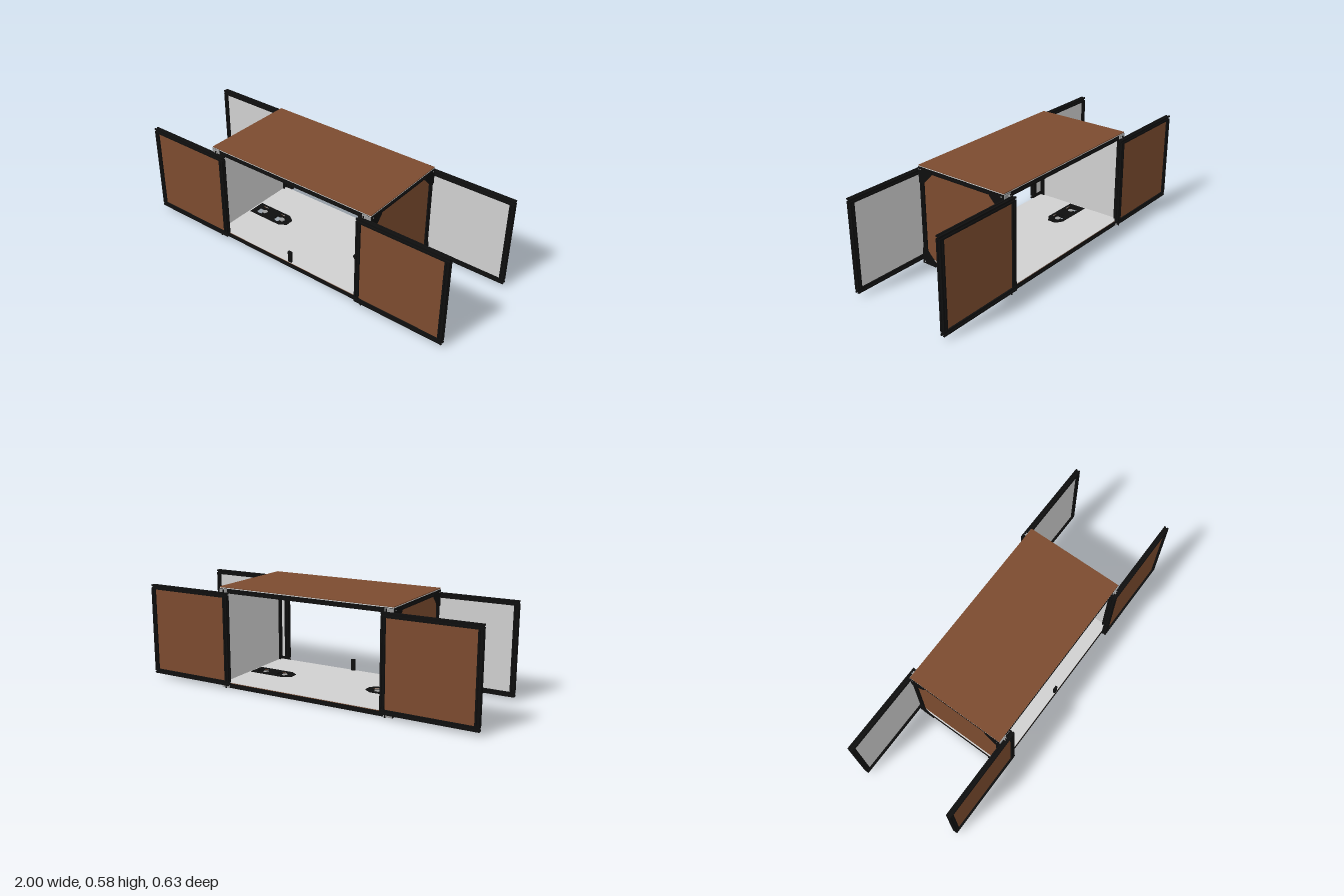
import * as THREE from 'three';

const mat = (name, color) => {
  const m = new THREE.MeshStandardMaterial({ color });
  m.name = name;
  return m;
};

export function createModel() {
  const black = mat('black frame', 0x0e0e0e);
  const brown = mat('brown panel face', 0x7c4b2f);
  const pale = mat('pale panel face', 0xd0d0d0);
  const steel = mat('grey steel', 0x9c9c9c);
  const root = new THREE.Group();
  root.name = 'cabinet';
  const S = 0.026, H = S / 2; // rail section

  const add = (parent, name, geo, m, x = 0, y = 0, z = 0) => {
    const mesh = new THREE.Mesh(geo, m);
    mesh.name = name;
    mesh.position.set(x, y, z);
    parent.add(mesh);
    return mesh;
  };
  const box = (parent, name, m, w, h, d, x, y, z) =>
    add(parent, name, new THREE.BoxGeometry(w, h, d), m, x, y, z);
  const rod = (parent, name, m, r, h, x, y, z) =>
    add(parent, name, new THREE.CylinderGeometry(r, r, h, 16), m, x, y, z);

  // slotted rail section: one side turned four times, with a centre bore
  const side = [[1, 1], [0.28, 1], [0.28, 0.8], [0.68, 0.8], [0.25, 0.36],
    [-0.25, 0.36], [-0.68, 0.8], [-0.28, 0.8], [-0.28, 1]];
  const section = [];
  for (let i = 0; i < 4; i++) {
    const c = Math.round(Math.cos(i * Math.PI / 2)), s = Math.round(Math.sin(i * Math.PI / 2));
    for (const [x, y] of side) section.push(new THREE.Vector2((x * c - y * s) * H, (x * s + y * c) * H));
  }
  const railShape = new THREE.Shape(section);
  railShape.holes.push(new THREE.Path().absarc(0, 0, H * 0.18, 0, Math.PI * 2, true));
  const rail = (parent, name, axis, length, x, y, z) => {
    const g = new THREE.ExtrudeGeometry(railShape, { depth: length, bevelEnabled: false, curveSegments: 4 });
    g.translate(0, 0, -length / 2);
    if (axis === 'x') g.rotateY(Math.PI / 2);
    if (axis === 'y') g.rotateX(Math.PI / 2);
    return add(parent, name, g, black, x, y, z);
  };

  // two-faced panel: brown outside, pale inside
  const panel = (parent, name, size, pos, axis, out) => {
    for (const [m, dir, label] of [[brown, out, 'Outside'], [pale, -out, 'Inside']]) {
      const s = [...size], p = [...pos];
      s[axis] /= 2;
      p[axis] += dir * s[axis] / 2;
      box(parent, name + label, m, ...s, ...p);
    }
  };

  // main frame
  const W = 0.528, D = 0.285, Y0 = 0.016, Y1 = 0.555;
  const frame = new THREE.Group();
  frame.name = 'frame';
  root.add(frame);
  for (const sz of [-1, 1]) {
    const z = sz * (D - H);
    for (const y of [Y0, Y1]) rail(frame, 'longRail', 'x', 2 * W, 0, y, z);
    for (const sx of [-1, 1]) rail(frame, 'cornerPost', 'y', Y1 - Y0 - S, sx * (W - H), (Y0 + Y1) / 2, z);
    rail(frame, 'floorRail', 'x', 2 * (W - S), 0, Y0, sz * 0.055);
  }
  for (const sx of [-1, 1])
    for (const y of [Y0, Y1]) rail(frame, 'sideRail', 'z', 2 * (D - S), sx * (W - H), y, 0);

  // side walls and roof
  for (const sx of [-1, 1])
    panel(root, 'sideWall', [0.008, Y1 - Y0 - S + 0.01, 2 * (D - S) + 0.01],
      [sx * (W - H), (Y0 + Y1) / 2, 0], 0, sx);
  panel(root, 'roof', [2 * W + 0.004, 0.009, 2 * D], [0, 0.5725, 0], 1, 1);

  // floor with a long opening at each end
  const openings = [-1, 1].map((sx) => {
    const p = [[0.5, -0.04], [0.5, 0.04], [0.29, 0.04], [0.255, 0.02], [0.255, -0.02], [0.29, -0.04]];
    return new THREE.Path(p.map(([x, z]) => new THREE.Vector2(sx * x, z)));
  });
  const fw = W - 0.002, fd = D - 0.002;
  const floor = new THREE.Shape([[-fw, -fd], [fw, -fd], [fw, fd], [-fw, fd]].map((p) => new THREE.Vector2(...p)));
  floor.holes.push(...openings);
  [[brown, 0.029, 'floorUnderside'], [pale, 0.032, 'floorTop']].forEach(([m, y, name]) => {
    const g = new THREE.ExtrudeGeometry(floor, { depth: 0.003, bevelEnabled: false });
    g.rotateX(-Math.PI / 2);
    add(root, name, g, m, 0, y, 0);
  });

  // pierced mounting plates in the openings, with bolts
  for (const sx of [-1, 1]) {
    const outline = [[0.5, -0.052], [0.5, 0.052], [0.28, 0.052], [0.24, 0.025], [0.24, -0.025], [0.28, -0.052]];
    const plate = new THREE.Shape(outline.map(([x, z]) => new THREE.Vector2(sx * x, z)));
    for (const x of [0.445, 0.31])
      plate.holes.push(new THREE.Path().absarc(sx * x, 0, 0.036, 0, Math.PI * 2, true));
    const g = new THREE.ExtrudeGeometry(plate, { depth: 0.005, bevelEnabled: false, curveSegments: 16 });
    g.rotateX(-Math.PI / 2);
    add(root, 'mountingPlate', g, black, 0, 0.034, 0);
    for (const x of [0.38, 0.265]) {
      rail(root, 'crossRail', 'z', 0.086, sx * x, Y0, 0);
    }
    for (const x of [0.43, 0.3]) {
      box(root, 'boltBridge', black, 0.012, 0.008, 0.09, sx * x, 0.03, 0);
      rod(root, 'bolt', steel, 0.016, 0.02, sx * x, 0.026, 0);
      rod(root, 'boltFoot', steel, 0.009, 0.02, sx * x, 0.011, 0);
    }
  }

  // triangular corner plates on the side walls
  for (const sx of [-1, 1]) for (const sy of [-1, 1]) for (const sz of [-1, 1]) {
    const yo = sy > 0 ? 0.567 : 0.003;
    const pts = [[D, 0], [0.195, 0], [0.195, 0.028], [0.256, 0.089], [D, 0.089]];
    const shape = new THREE.Shape(pts.map(([z, y]) => new THREE.Vector2(-sz * z, yo - sy * y)));
    const g = new THREE.ExtrudeGeometry(shape, { depth: 0.005, bevelEnabled: false });
    g.rotateY(Math.PI / 2);
    add(root, 'cornerPlate', g, black, sx > 0 ? W : -W - 0.005, 0, 0);
    const screw = rod(root, 'cornerScrew', pale, 0.003, 0.002, sx * (W + 0.0055), yo - sy * 0.012, sz * 0.271);
    screw.rotation.z = Math.PI / 2;
  }

  // four open sliding doors with their hinge brackets
  const doorW = 0.53, doorY = 0.285, doorH = 0.525;
  for (const [cx, sz] of [[-0.705, 1], [0.725, 1], [-0.735, -1], [0.735, -1]]) {
    const door = new THREE.Group();
    door.name = 'door';
    door.position.set(cx, doorY, sz * 0.3);
    root.add(door);
    for (const s of [-1, 1]) {
      rail(door, 'doorRail', 'x', doorW, 0, s * (doorH / 2 - H), 0);
      rail(door, 'doorStile', 'y', doorH - 2 * S, s * (doorW / 2 - H), 0, 0);
    }
    panel(door, 'doorPanel', [doorW - 2 * S + 0.01, doorH - 2 * S + 0.01, 0.008], [0, 0, 0], 2, sz);
    const sx = Math.sign(cx);
    for (const s of [-1, 1]) {
      const y = doorY + s * 0.271;
      box(root, 'hingeBracket', steel, 0.05, 0.02, 0.005, sx * 0.505, y, sz * 0.2875);
      box(root, 'hingeArm', steel, 0.016, 0.005, 0.012, sx * 0.495, y, sz * 0.295);
      rod(root, 'hingePin', black, 0.004, 0.02, sx * 0.495, y - s * 0.001, sz * 0.3);
    }
  }

  // short door stop at the middle of the front
  box(root, 'doorStop', black, 0.024, 0.072, 0.012, 0, 0.066, 0.276);
  return root;
}
